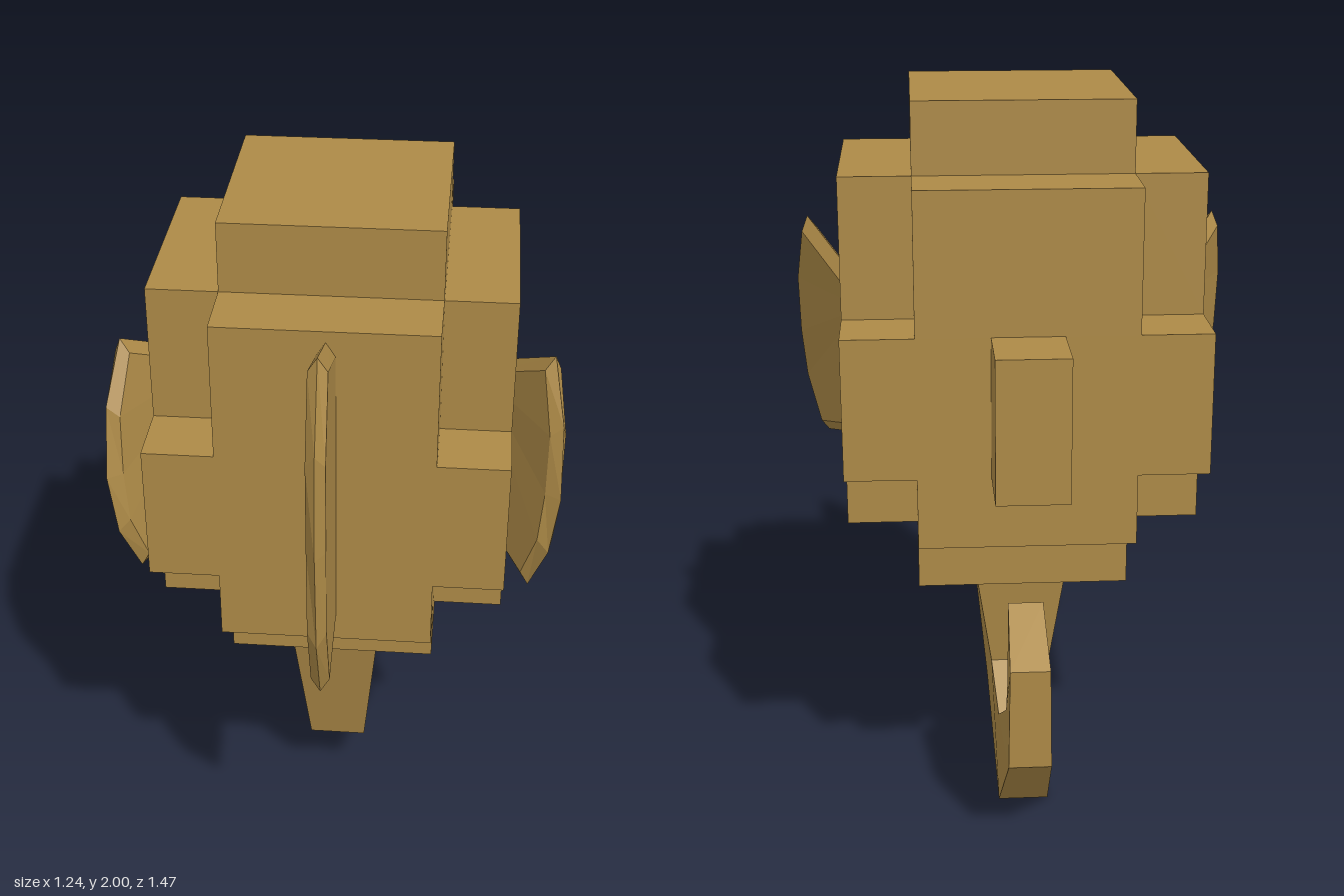
import * as THREE from 'three';

const skin = new THREE.MeshStandardMaterial({ color: 0xad8a47 });
skin.name = 'ochre skin';

// Closed flat-faced skin through loops of points; each loop winds around the travel direction
function loft(loops) {
  const pos = [];
  const tri = (a, b, c) => [a, b, c].forEach((p) => pos.push(p.x, p.y, p.z));
  const n = loops[0].length;
  for (let s = 0; s < loops.length - 1; s++) {
    const a = loops[s], b = loops[s + 1];
    for (let i = 0; i < n; i++) {
      const j = (i + 1) % n;
      tri(a[i], a[j], b[j]);
      tri(a[i], b[j], b[i]);
    }
  }
  const first = loops[0], last = loops[loops.length - 1];
  for (let i = 1; i < n - 1; i++) {
    tri(first[0], first[i + 1], first[i]);
    tri(last[0], last[i], last[i + 1]);
  }
  const g = new THREE.BufferGeometry();
  g.setAttribute('position', new THREE.Float32BufferAttribute(pos, 3));
  g.computeVertexNormals();
  return g;
}

// Thin plate with a sharp ridge around its rim
function finGeometry(points) {
  const ridge = points.map((p) => new THREE.Vector3(...p));
  const centre = new THREE.Vector3(), normal = new THREE.Vector3();
  ridge.forEach((p, i) => {
    centre.addScaledVector(p, 1 / ridge.length);
    normal.add(p.clone().cross(ridge[(i + 1) % ridge.length]));
  });
  normal.normalize();
  const face = (offset) => ridge.map((p) =>
    p.clone().addScaledVector(centre.clone().sub(p).normalize(), 0.04).addScaledVector(normal, offset));
  return loft([face(-0.025), ridge, face(0.025)]);
}

export function createModel() {
  const model = new THREE.Group();
  const add = (name, geometry, parent = model) => {
    const mesh = new THREE.Mesh(geometry, skin);
    mesh.name = name;
    parent.add(mesh);
    return mesh;
  };

  // Blocky body: stacked layers, square or cross-shaped in plan
  const body = new THREE.Group();
  body.name = 'body';
  body.position.set(-0.004, 0, -0.06);
  model.add(body);
  const W = 0.478, N = 0.288;
  const block = (name, half, y0, y1) =>
    add(name, new THREE.BoxGeometry(half * 2, y1 - y0, half * 2), body).position.y = (y0 + y1) / 2;
  const crossPlan = new THREE.Shape([
    [W, N], [N, N], [N, W], [-N, W], [-N, N], [-W, N],
    [-W, -N], [-N, -N], [-N, -W], [N, -W], [N, -N], [W, -N],
  ].map(([x, y]) => new THREE.Vector2(x, y)));
  const crossLayer = (name, y0, y1) => {
    const g = new THREE.ExtrudeGeometry(crossPlan, { depth: y1 - y0, bevelEnabled: false });
    add(name, g.rotateX(-Math.PI / 2), body).position.y = y0;
  };
  block('bodyBottom', N, 0.667, 0.86);
  crossLayer('bodyLowerLayer', 0.86, 1.053);
  block('bodyMiddle', W, 1.053, 1.433);
  crossLayer('bodyUpperLayer', 1.433, 1.81);
  block('bodyTop', N, 1.81, 2);

  // Square plug on the back
  add('backPlug', new THREE.BoxGeometry(0.19, 0.38, 0.24), body).position.set(0, 1.243, -0.553);

  // Front fin on the centre line
  add('frontFin', finGeometry([
    [0, 1.74, 0.3], [0, 1.85, 0.62], [0, 1.63, 0.71], [0, 1.345, 0.735],
    [0, 1.055, 0.71], [0, 0.838, 0.62], [0, 0.95, 0.3],
  ]));

  // Swept side fins, mirrored
  const sideFin = [
    [0.391, 1.43, -0.158], [0.58, 1.61, 0.13], [0.61, 1.45, 0.225], [0.615, 1.25, 0.268],
    [0.592, 1.08, 0.273], [0.545, 0.935, 0.225], [0.391, 1.012, -0.06],
  ];
  for (const side of [1, -1]) {
    add(side > 0 ? 'leftFin' : 'rightFin', finGeometry(sideFin.map(([x, y, z]) => [x * side, y, z])));
  }

  // Tapering tail that curls backwards: outer z, y, inner z, y, half width
  const stations = [
    [0.151, 0.7, -0.268, 0.7, 0.132],
    [0.045, 0.185, -0.235, 0.375, 0.083],
    [-0.375, 0, -0.375, 0.275, 0.07],
    [-0.655, 0.265, -0.535, 0.375, 0.058],
    [-0.655, 0.55, -0.535, 0.465, 0.054],
    [-0.46, 0.66, -0.46, 0.53, 0.048],
    [-0.365, 0.58, -0.407, 0.492, 0.04],
    [-0.36, 0.505, -0.402, 0.487, 0.036],
  ];
  add('curledTail', loft(stations.map(([oz, oy, iz, iy, w]) => [
    new THREE.Vector3(w - 0.004, oy, oz), new THREE.Vector3(-w - 0.004, oy, oz),
    new THREE.Vector3(-w - 0.004, iy, iz), new THREE.Vector3(w - 0.004, iy, iz),
  ])));

  return model;
}
